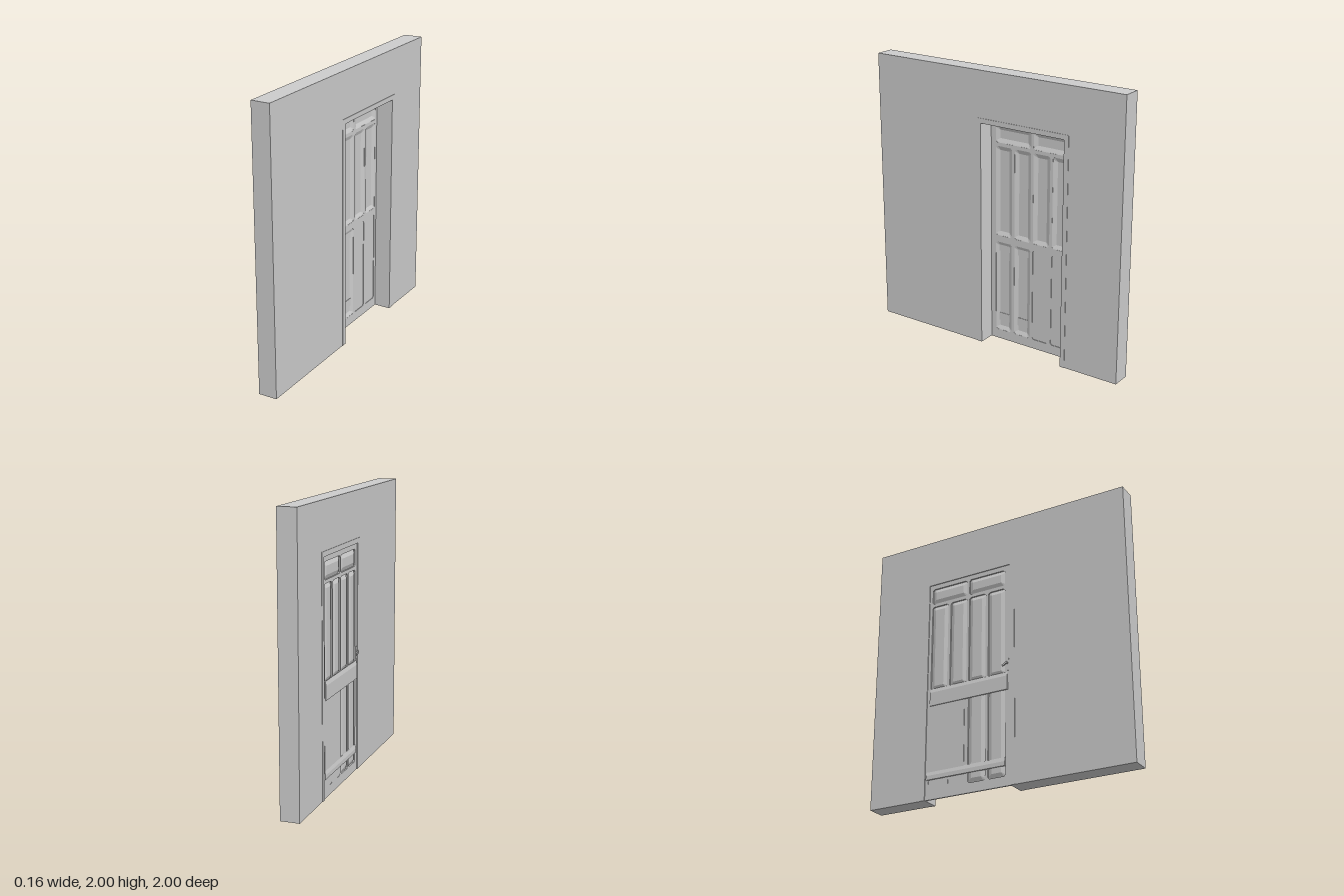
import * as THREE from 'three';

// Drawing plane: u runs along -z, v is up; depth grows toward +x.
export function createModel() {
  const root = new THREE.Group();
  root.name = 'doorInWall';
  const mat = new THREE.MeshStandardMaterial({ color: 0xcccccc, flatShading: true });
  const sheet = mat.clone();
  sheet.side = THREE.DoubleSide;

  const add = (name, geo, parent = root, m = mat) => {
    const mesh = new THREE.Mesh(geo, m);
    mesh.name = name;
    parent.add(mesh);
    return mesh;
  };
  const path = (pts) => pts.map(([u, v]) => new THREE.Vector2(u, v));
  const slab = (shape, x0, x1) => {
    const g = new THREE.ExtrudeGeometry(shape, { depth: x1 - x0, bevelEnabled: false });
    return g.rotateY(Math.PI / 2).translate(x0, 0, 0);
  };
  const box = (x0, x1, y0, y1, z0, z1) =>
    new THREE.BoxGeometry(x1 - x0, y1 - y0, z1 - z0)
      .translate((x0 + x1) / 2, (y0 + y1) / 2, (z0 + z1) / 2);

  // Opening edges
  const U0 = -0.11, U1 = 0.555, TOP = 1.635;

  // Wall with a doorway cut up from the floor
  add('wall', slab(new THREE.Shape(path([
    [-1, 0], [U0, 0], [U0, TOP], [U1, TOP], [U1, 0], [1, 0], [1, 2], [-1, 2],
  ])), -0.06, 0.075));

  // Thin casing on both wall faces
  const w = 0.035;
  const casing = new THREE.Shape(path([
    [U0 - w, 0], [U0, 0], [U0, TOP], [U1, TOP], [U1, 0], [U1 + w, 0], [U1 + w, TOP + w], [U0 - w, TOP + w],
  ]));
  add('innerCasing', slab(casing, 0.075, 0.078));
  add('outerCasing', slab(casing, -0.063, -0.06));

  // Panel layout: two wide ones over two rows of four
  const panels = [[-0.07, 0.22, 1.48, 1.60], [0.24, 0.53, 1.48, 1.60]];
  for (const [v0, v1] of [[0.80, 1.455], [0.07, 0.75]])
    for (const u of [-0.07, 0.086, 0.24, 0.396]) panels.push([u, u + 0.134, v0, v1]);

  // Rectangle with clipped corners
  const outline = ([u0, u1, v0, v1], inset, c) => {
    const a = u0 + inset, b = u1 - inset, d = v0 + inset, e = v1 - inset;
    return [[a + c, d], [b - c, d], [b, d + c], [b, e - c], [b - c, e], [a + c, e], [a, e - c], [a, d + c]];
  };

  // Door leaf: one slab with a hole for each panel
  const door = new THREE.Group();
  door.name = 'door';
  root.add(door);
  const leaf = new THREE.Shape(path([[U0, 0], [U1, 0], [U1, TOP], [U0, TOP]]));
  panels.forEach((p) => leaf.holes.push(new THREE.Path(path(outline(p, 0, 0.012)))));
  add('doorFrame', slab(leaf, -0.057, -0.046), door);

  // Dished panel lofted through rings, with a flat field
  const dish = (p) => {
    const rings = [[0, 0.012, -0.047], [0.008, 0.01, -0.050], [0.03, 0.001, -0.059]];
    const pos = [], idx = [];
    for (const [inset, c, x] of rings)
      for (const [u, v] of outline(p, inset, c)) pos.push(x, v, -u);
    for (let r = 0; r < 2; r++)
      for (let i = 0; i < 8; i++) {
        const a = r * 8 + i, b = r * 8 + (i + 1) % 8;
        idx.push(a, b, b + 8, a, b + 8, a + 8);
      }
    for (let i = 1; i < 7; i++) idx.push(16, 16 + i, 17 + i);
    const g = new THREE.BufferGeometry();
    g.setAttribute('position', new THREE.Float32BufferAttribute(pos, 3));
    g.setIndex(idx);
    g.computeVertexNormals();
    return g;
  };
  // The last two lower panels are plain, shallow fills
  panels.forEach((p, i) => add('panel' + (i + 1),
    i < 8 ? dish(p) : slab(new THREE.Shape(path(outline(p, 0, 0.012))), -0.056, -0.05), door, sheet));

  // Flat board covering the plain panels outside
  add('coverBoard', box(-0.060, -0.057, 0.18, 0.70, -0.545, -0.25), door);

  // Outside rails, sloped along the top
  const rail = (name, y0, y1, out, z0, z1) => {
    const s = new THREE.Shape(path([[-0.056, y0], [-0.056, y1], [-0.059, y1], [-out, y1 - 0.03], [-out, y0]]));
    add(name, new THREE.ExtrudeGeometry(s, { depth: z1 - z0, bevelEnabled: false }).translate(0, 0, z0), door);
  };
  rail('middleRail', 0.68, 0.81, 0.066, -0.53, 0.09);
  rail('bottomRail', 0.14, 0.20, 0.066, -0.545, 0.07);

  // Lever handle on its plate
  const handle = new THREE.Group();
  handle.name = 'handle';
  door.add(handle);
  add('handlePlate', box(-0.060, -0.056, 0.82, 0.91, 0.076, 0.1), handle);
  add('handleSpindle', new THREE.CylinderGeometry(0.007, 0.007, 0.022, 10)
    .rotateZ(Math.PI / 2).translate(-0.067, 0.875, 0.088), handle);
  const lever = add('handleLever', new THREE.BoxGeometry(0.008, 0.012, 0.045), handle);
  lever.position.set(-0.075, 0.866, 0.076);
  lever.rotation.x = -0.5;

  return root;
}
